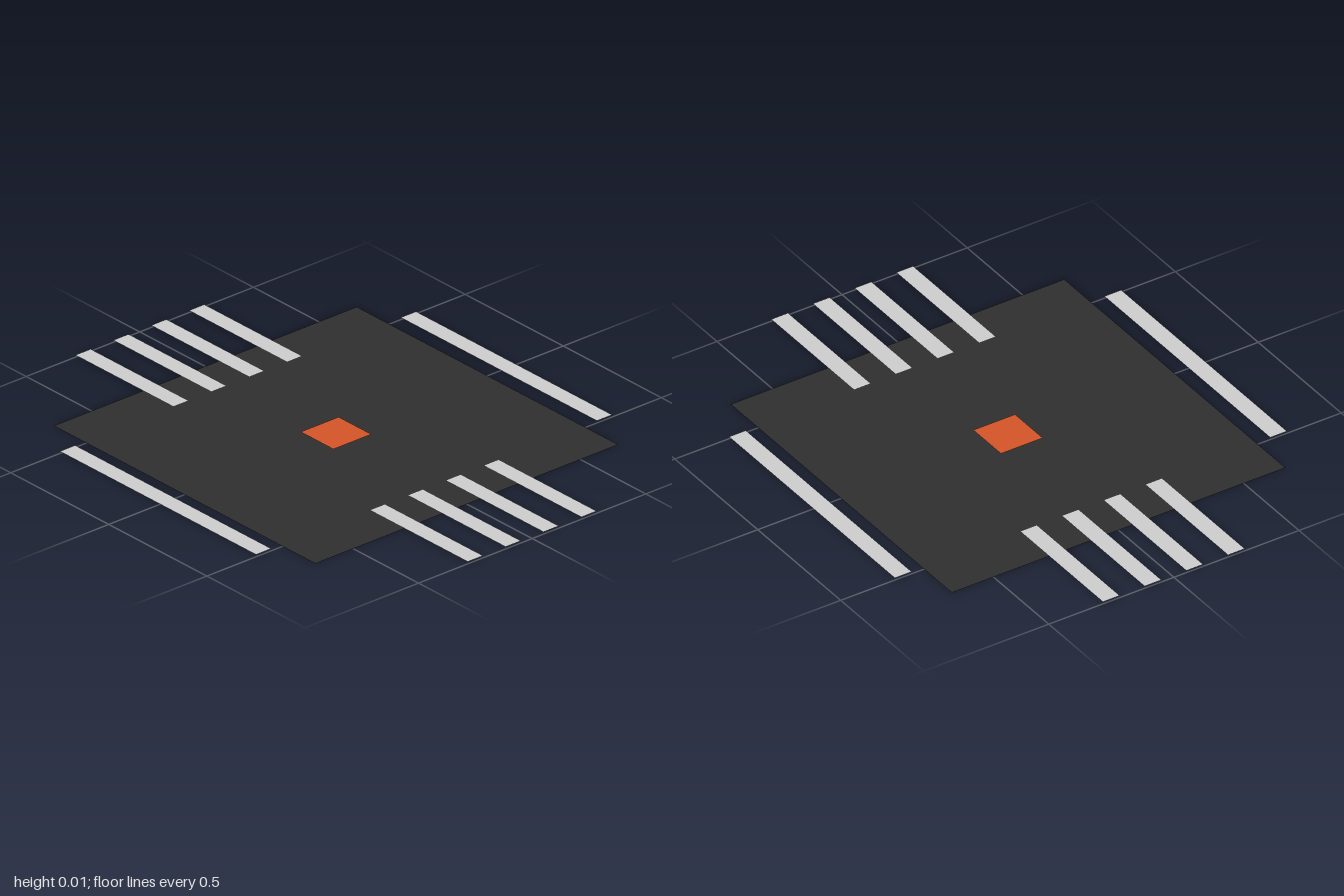
import * as THREE from 'three';

const TOP = 0.008; // height of the raised markings above the base sheet

export function createModel() {
  const model = new THREE.Group();
  const material = (color) => new THREE.MeshStandardMaterial({ color, side: THREE.DoubleSide });
  const dark = material(0x2e2e2e);
  const grey = material(0xcccccc);
  const orange = material(0xd35328);

  // Flat horizontal sheet facing up
  function sheet(name, width, depth, x, y, z, mat) {
    const geometry = new THREE.PlaneGeometry(width, depth).rotateX(-Math.PI / 2);
    const mesh = new THREE.Mesh(geometry, mat);
    mesh.name = name;
    mesh.position.set(x, y, z);
    model.add(mesh);
  }

  // Square base and centre marker
  sheet('base', 1.333, 1.333, 0, 0, 0, dark);
  sheet('centreMarker', 0.167, 0.167, 0, TOP, 0, orange);

  // Long strips beside the base
  for (const side of [-1, 1]) {
    sheet(side > 0 ? 'leftStrip' : 'rightStrip', 0.067, 1, side * 0.75, TOP, 0, grey);
  }

  // Four short strips across the front and back edges
  for (const end of [-1, 1]) {
    for (let i = 0; i < 4; i++) {
      const name = `${end > 0 ? 'front' : 'back'}Strip${i + 1}`;
      sheet(name, 0.067, 0.5, (i - 1.5) / 6, TOP, end * 0.75, grey);
    }
  }

  return model;
}
